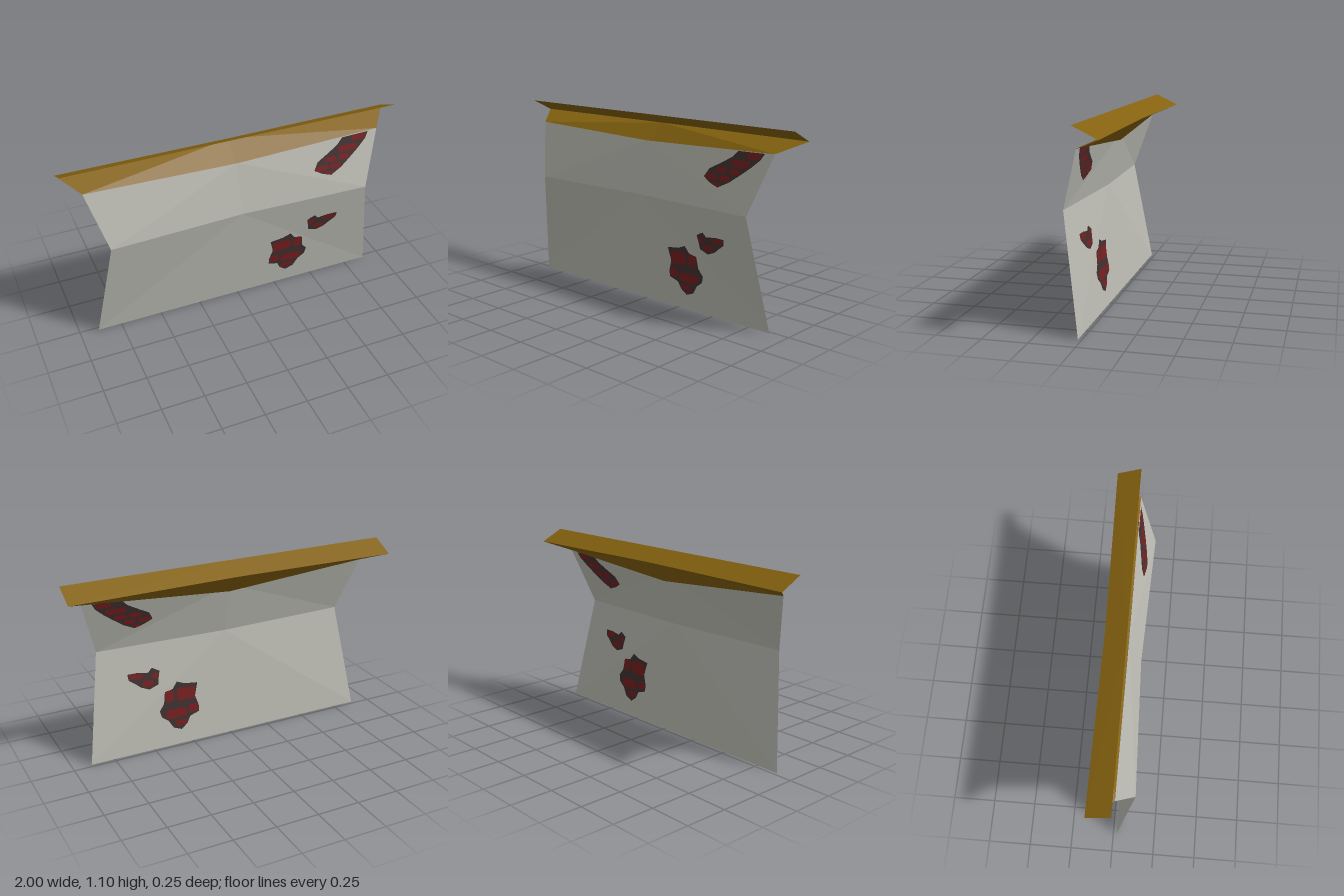
import * as THREE from 'three';

const material = (name, color) =>
  new THREE.MeshStandardMaterial({ name, color, side: THREE.DoubleSide });

// Sheet of flat triangles; every triangle is given for the +x half and mirrored to -x
function mirroredSheet(name, triangles, mat) {
  const positions = [];
  for (const [a, b, c] of triangles) {
    for (const p of [a, b, c]) positions.push(...p);
    for (const p of [a, c, b]) positions.push(-p[0], p[1], p[2]);
  }
  const geometry = new THREE.BufferGeometry();
  geometry.setAttribute('position', new THREE.Float32BufferAttribute(positions, 3));
  geometry.computeVertexNormals();
  const mesh = new THREE.Mesh(geometry, mat);
  mesh.name = name;
  return mesh;
}

// Flat outline laid on the plane of a wall triangle, shifted by an offset in z
function plate(name, outline, triangle, offset, mat) {
  const geometry = new THREE.ShapeGeometry(
    new THREE.Shape(outline.map(([x, y]) => new THREE.Vector2(x, y))));
  const plane = new THREE.Plane().setFromCoplanarPoints(
    ...triangle.map((p) => new THREE.Vector3(...p)));
  const { normal: n, constant } = plane;
  const pos = geometry.attributes.position;
  for (let i = 0; i < pos.count; i++) {
    pos.setZ(i, -(n.x * pos.getX(i) + n.y * pos.getY(i) + constant) / n.z + offset);
  }
  geometry.computeVertexNormals();
  const mesh = new THREE.Mesh(geometry, mat);
  mesh.name = name;
  return mesh;
}

// Slightly irregular brick outline from its left, bottom, right and top
const brickOutline = ([l, b, r, t]) => [
  [l + 0.008, b], [r - 0.01, b], [r, b + 0.012], [r, t - 0.008],
  [r - 0.008, t], [l + 0.01, t], [l, t - 0.01], [l, b + 0.008],
];

export function createModel() {
  const model = new THREE.Group();
  model.name = 'foldedWall';
  const plaster = material('pale plaster', 0xbcbcb4);
  const ochre = material('ochre trim', 0x85620f);
  const brick = material('red brick', 0x781e1e);
  const mortar = material('dark mortar', 0x403030);

  // Wall corners
  const bottomMid = [0, 0, 0.02], bottomEnd = [0.89, 0, 0.02];
  const foldMid = [0, 0.645, 0.093], foldEnd = [0.79, 0.645, 0.122];
  const topMid = [0, 0.95, 0.021], topEnd = [0.89, 0.975, 0.02];

  const lowerInner = [bottomMid, bottomEnd, foldMid];
  const lowerOuter = [bottomEnd, foldEnd, foldMid];
  const upperInner = [foldMid, foldEnd, topMid];
  const upperOuter = [foldEnd, topEnd, topMid];
  model.add(mirroredSheet('lowerWall', [lowerInner, lowerOuter], plaster));
  model.add(mirroredSheet('upperWall', [upperInner, upperOuter], plaster));

  // Trim: a sheet leaning back from the wall, then a strip folding forward over it
  const eaveMid = [0, 0.912, 0.018];
  const ridgeMid = [0, 1.04, -0.11], ridgeEnd = [1, 1.035, -0.124];
  const lipMid = [0, 1.102, 0.012], lipEnd = [1, 1.102, 0.012];
  model.add(mirroredSheet('trimUnderside',
    [[eaveMid, topEnd, ridgeMid], [topEnd, ridgeEnd, ridgeMid]], ochre));
  model.add(mirroredSheet('trimTop',
    [[lipMid, lipEnd, ridgeEnd], [lipMid, ridgeEnd, ridgeMid]], ochre));

  // Patches of exposed brickwork, seen on both faces of the wall
  const patches = [
    {
      name: 'lowerBrickPatch', on: lowerInner,
      outline: [[0.20, 0.36], [0.28, 0.37], [0.33, 0.39], [0.36, 0.35], [0.41, 0.34],
        [0.42, 0.27], [0.45, 0.23], [0.44, 0.19], [0.40, 0.16], [0.37, 0.11], [0.32, 0.09],
        [0.28, 0.12], [0.26, 0.16], [0.20, 0.18], [0.20, 0.22], [0.22, 0.28]],
      bricks: [[0.22, 0.27, 0.335, 0.345], [0.355, 0.275, 0.41, 0.345],
        [0.205, 0.185, 0.265, 0.235], [0.28, 0.17, 0.41, 0.225], [0.28, 0.12, 0.36, 0.15]],
    },
    {
      name: 'middleBrickPatch', on: lowerOuter,
      outline: [[0.43, 0.475], [0.475, 0.50], [0.50, 0.475], [0.56, 0.485], [0.625, 0.485],
        [0.62, 0.45], [0.58, 0.42], [0.55, 0.395], [0.50, 0.375], [0.445, 0.395], [0.44, 0.43]],
      bricks: [[0.44, 0.435, 0.475, 0.47], [0.535, 0.45, 0.615, 0.48], [0.47, 0.395, 0.54, 0.43]],
    },
    {
      name: 'upperBrickPatch', on: upperOuter,
      outline: [[0.465, 0.81], [0.49, 0.855], [0.555, 0.89], [0.625, 0.93], [0.66, 0.966],
        [0.83, 0.97], [0.81, 0.935], [0.76, 0.89], [0.715, 0.855], [0.64, 0.80],
        [0.57, 0.765], [0.51, 0.785]],
      bricks: [[0.72, 0.935, 0.81, 0.966], [0.63, 0.885, 0.75, 0.92], [0.54, 0.842, 0.61, 0.872],
        [0.625, 0.842, 0.70, 0.872], [0.475, 0.80, 0.555, 0.83], [0.57, 0.80, 0.64, 0.83],
        [0.53, 0.775, 0.59, 0.79]],
    },
  ];
  for (const { name, on, outline, bricks } of patches) {
    const patch = new THREE.Group();
    patch.name = name;
    for (const side of [1, -1]) {
      patch.add(plate('mortar', outline, on, side * 0.003, mortar));
      for (const b of bricks) patch.add(plate('brick', brickOutline(b), on, side * 0.005, brick));
    }
    model.add(patch);
  }
  return model;
}
